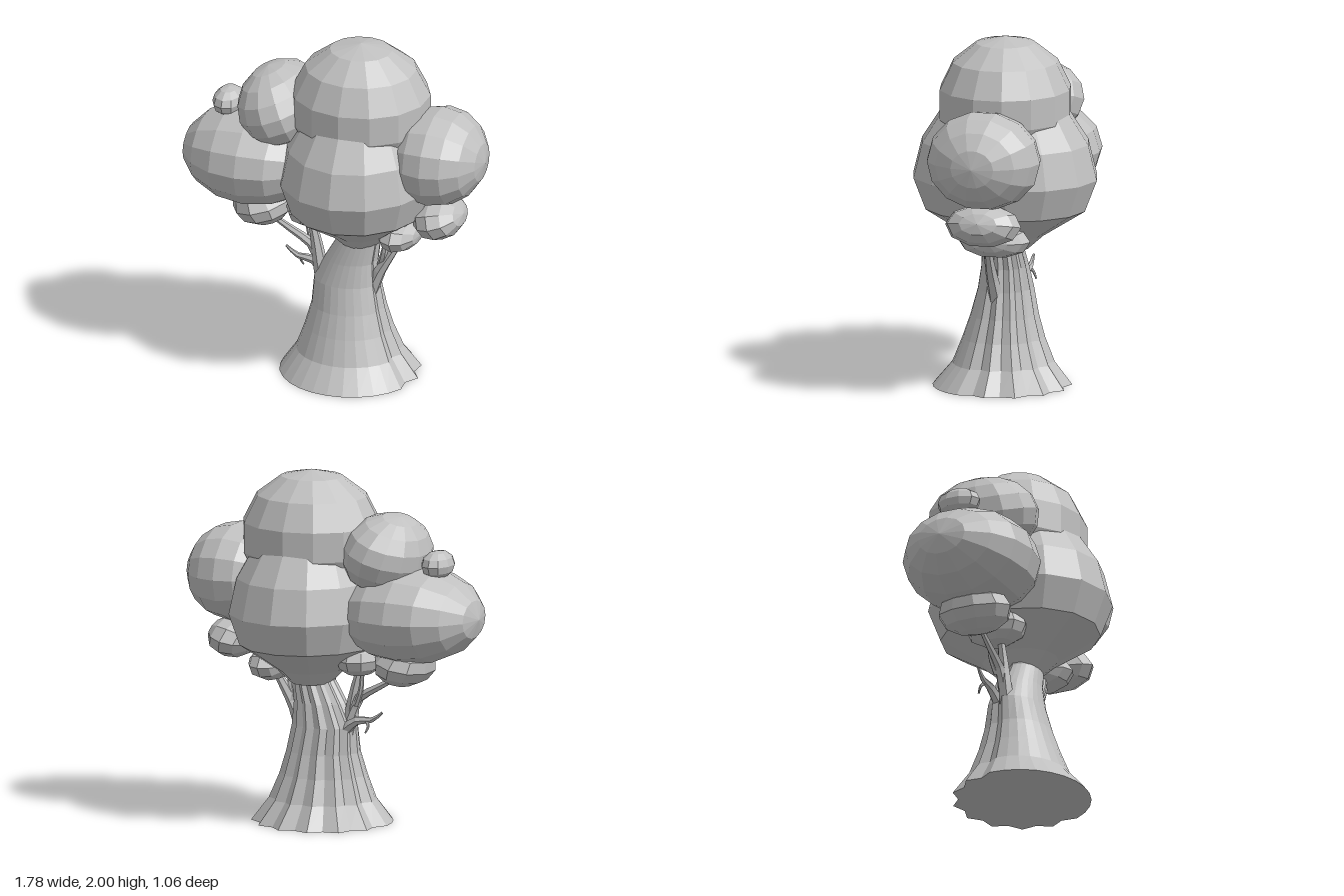
import * as THREE from 'three';

const grey = new THREE.MeshStandardMaterial({ color: 0xc0c0c0 });
grey.name = 'plain grey';
grey.flatShading = true;

function add(group, name, geometry) {
  const mesh = new THREE.Mesh(geometry, grey);
  mesh.name = name;
  group.add(mesh);
  return mesh;
}

// Faceted leaf clump; its poles lie along x when sideways, otherwise along y
function clump(group, name, pos, radii, { sideways = false, tilt = 0, sides = 14, rings = 7 } = {}) {
  const g = new THREE.SphereGeometry(1, sides, rings);
  g.rotateY(Math.PI / 2);
  if (sideways) g.rotateZ(-Math.PI / 2);
  g.rotateZ(tilt);
  g.scale(...radii);
  g.translate(...pos);
  add(group, name, g);
}

// Tapered branch along a path
function branch(group, name, points, r0, r1) {
  const curve = new THREE.CatmullRomCurve3(points.map(p => new THREE.Vector3(...p)));
  const steps = 6, sides = 6;
  const g = new THREE.TubeGeometry(curve, steps, 1, sides);
  const p = g.attributes.position, v = new THREE.Vector3();
  for (let i = 0; i < p.count; i++) {
    const t = Math.floor(i / (sides + 1)) / steps;
    const c = curve.getPointAt(t);
    v.fromBufferAttribute(p, i).sub(c).multiplyScalar(r0 + (r1 - r0) * t).add(c);
    p.setXYZ(i, v.x, v.y, v.z);
  }
  g.computeVertexNormals();
  add(group, name, g);
}

// Flared trunk with root grooves along the back and the left side
function trunk(group) {
  // height, right edge, left edge, back edge, front edge
  const levels = [
    [0, -0.30, 0.50, -0.36, 0.42],
    [0.13, -0.21, 0.40, -0.26, 0.31],
    [0.27, -0.16, 0.34, -0.205, 0.255],
    [0.4, -0.125, 0.30, -0.17, 0.21],
    [0.55, -0.115, 0.268, -0.14, 0.17],
    [0.68, -0.05, 0.255, -0.12, 0.145],
    [0.8, 0.02, 0.27, -0.1, 0.13],
    [0.95, 0.03, 0.27, -0.1, 0.12],
  ];
  const sides = 28, n = levels.length - 1;
  const g = new THREE.CylinderGeometry(1, 1, 1, sides, n);
  const p = g.attributes.position;
  for (let i = 0; i < p.count; i++) {
    const x = p.getX(i), z = p.getZ(i);
    const k = Math.round((p.getY(i) + 0.5) * n);
    const [y, x0, x1, z0, z1] = levels[k];
    const s = (Math.round(Math.atan2(x, z) / (2 * Math.PI) * sides) + sides) % sides;
    const grooved = s >= 6 && s <= 20 && s % 2 === 0;
    const f = grooved ? 0.9 : 1;
    p.setXYZ(i, (x0 + x1) / 2 + x * f * (x1 - x0) / 2, y, (z0 + z1) / 2 + z * f * (z1 - z0) / 2);
  }
  g.computeVertexNormals();
  add(group, 'trunk', g);
}

export function createModel() {
  const tree = new THREE.Group();
  tree.name = 'tree';

  trunk(tree);

  // Main crown, pinched towards the trunk
  const profile = [[0, 0.77], [0.13, 0.79], [0.22, 0.87], [0.46, 1.02], [0.53, 1.2],
    [0.48, 1.4], [0.35, 1.6], [0, 1.75]].map(q => new THREE.Vector2(...q));
  const crown = new THREE.LatheGeometry(profile, 14);
  crown.scale(0.86, 1, 1);
  crown.translate(0.15, 0, 0);
  add(tree, 'mainCrown', crown);

  // Large leaf clumps
  clump(tree, 'topCrown', [0.15, 1.62, 0], [0.405, 0.38, 0.38]);
  clump(tree, 'leftClump', [0.61, 1.38, 0], [0.28, 0.28, 0.325], { sideways: true, rings: 8 });
  clump(tree, 'rightClump', [-0.47, 1.23, 0], [0.42, 0.28, 0.38], { sideways: true, rings: 8 });
  clump(tree, 'upperRightClump', [-0.32, 1.56, 0], [0.24, 0.23, 0.33], { tilt: 0.35, rings: 8 });

  // Small leaf clumps
  const small = { sides: 10, rings: 6 };
  clump(tree, 'tinyRightClump', [-0.635, 1.525, 0], [0.088, 0.08, 0.13], small);
  clump(tree, 'lowerRightClump', [-0.43, 0.94, 0], [0.17, 0.125, 0.22], { ...small, tilt: 0.3 });
  clump(tree, 'innerRightClump', [-0.15, 0.95, 0], [0.13, 0.1, 0.18], small);
  clump(tree, 'lowerLeftClump', [0.62, 1.01, 0], [0.145, 0.12, 0.22], { ...small, sideways: true, tilt: 0.3 });
  clump(tree, 'innerLeftClump', [0.39, 0.88, 0], [0.12, 0.1, 0.21], { ...small, sideways: true });

  // Branches
  branch(tree, 'rightBranch', [[-0.06, 0.5, 0.02], [-0.09, 0.64, 0.02], [-0.11, 0.76, 0.02], [-0.15, 0.92, 0.02]], 0.05, 0.018);
  branch(tree, 'rightForkBranch', [[-0.08, 0.6, 0.01], [-0.14, 0.72, 0.01], [-0.24, 0.78, 0.01], [-0.38, 0.86, 0.01]], 0.035, 0.014);
  branch(tree, 'rightThinBranch', [[-0.13, 0.68, -0.01], [-0.17, 0.78, -0.03], [-0.18, 0.92, -0.03]], 0.018, 0.01);
  branch(tree, 'rightTwig', [[-0.08, 0.55, -0.03], [-0.15, 0.6, -0.04], [-0.24, 0.61, -0.04], [-0.31, 0.66, -0.04]], 0.035, 0.007);
  branch(tree, 'rightTwigFork', [[-0.2, 0.61, -0.04], [-0.23, 0.58, -0.06], [-0.22, 0.54, -0.08]], 0.012, 0.005);
  branch(tree, 'leftBranch', [[0.22, 0.5, 0.03], [0.28, 0.64, 0.04], [0.34, 0.74, 0.04], [0.42, 0.88, 0.03]], 0.045, 0.018);
  branch(tree, 'leftThinBranch', [[0.28, 0.66, 0.03], [0.31, 0.76, 0.06], [0.33, 0.88, 0.06]], 0.025, 0.014);

  return tree;
}
